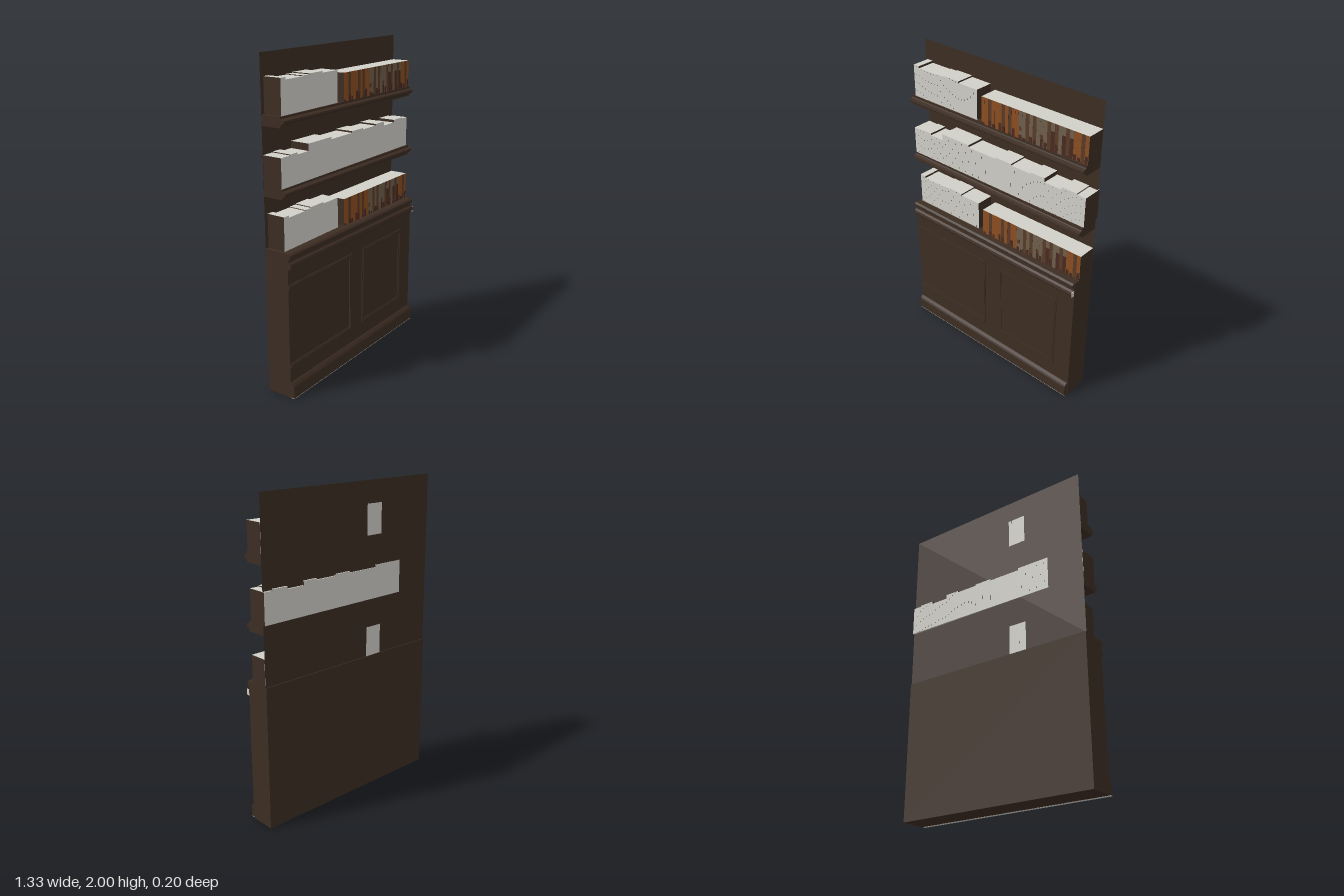
import * as THREE from 'three';

const mat = (name, color, side = THREE.FrontSide) => {
  const m = new THREE.MeshStandardMaterial({ color, side });
  m.name = name;
  return m;
};

export function createModel() {
  const wood = mat('dark wood', 0x3d2d23, THREE.DoubleSide);
  const paper = mat('pale grey', 0xd0cfc8);
  const spines = {
    P: paper,
    O: mat('orange leather', 0x8c4e22),
    U: mat('umber leather', 0x5a3b25),
    T: mat('taupe cloth', 0x6e5f4b),
    M: mat('maroon leather', 0x482a20),
  };
  const root = new THREE.Group();
  root.name = 'bookcase';
  const W = 0.665, BACK = -0.085;

  const add = (name, geo, material, x = 0, y = 0, z = 0, parent = root) => {
    const mesh = new THREE.Mesh(geo, material);
    mesh.name = name;
    mesh.position.set(x, y, z);
    parent.add(mesh);
    return mesh;
  };
  const box = (name, material, x0, x1, y0, y1, z0, z1, parent) =>
    add(name, new THREE.BoxGeometry(x1 - x0, y1 - y0, z1 - z0), material,
      (x0 + x1) / 2, (y0 + y1) / 2, (z0 + z1) / 2, parent);

  // Sweeps a [z, y] profile along x
  const moulding = (name, pts, x0, x1, y = 0) => {
    const shape = new THREE.Shape(pts.map(([z, h]) => new THREE.Vector2(z, h)));
    const geo = new THREE.ExtrudeGeometry(shape, { depth: x1 - x0, bevelEnabled: false });
    geo.rotateY(-Math.PI / 2);
    return add(name, geo, wood, x1, y, 0);
  };

  // Back panel and cabinet body
  add('backPanel', new THREE.PlaneGeometry(2 * W, 1.1), wood, 0, 1.45, BACK);
  box('cabinetBody', wood, -W, W, 0, 0.905, -0.092, 0.074);

  // Skirting with its pale underside
  moulding('skirting', [[0.07, 0.003], [0.1, 0.003], [0.1, 0.075], [0.094, 0.085],
    [0.08, 0.1], [0.07, 0.1]], -W, 0.66);
  box('skirtingUnderside', paper, -W, 0.66, 0, 0.003, 0.075, 0.1);

  // Cornice under the counter and its pale cut end
  moulding('cornice', [[0.07, 0.8], [0.078, 0.805], [0.08, 0.812], [0.094, 0.818], [0.1, 0.83],
    [0.094, 0.846], [0.082, 0.855], [0.08, 0.868], [0.092, 0.88], [0.092, 0.896],
    [0.08, 0.905], [0.07, 0.905]], -W, 0.661);
  box('corniceEnd', paper, 0.661, 0.664, 0.812, 0.85, 0.076, 0.096);

  // Raised frames on the cabinet front
  const frame = (name, x0, x1, y0, y1, b, z) => {
    const s = new THREE.Shape();
    s.moveTo(x0, y0).lineTo(x1, y0).lineTo(x1, y1).lineTo(x0, y1).closePath();
    const a = Math.max(x0 + b, -W);
    const hole = new THREE.Path();
    hole.moveTo(a, y0 + b).lineTo(a, y1 - b).lineTo(x1 - b, y1 - b).lineTo(x1 - b, y0 + b).closePath();
    s.holes.push(hole);
    add(name, new THREE.ExtrudeGeometry(s, { depth: z, bevelEnabled: false }), wood, 0, 0, 0.073);
  };
  frame('rightFrame', 0.072, 0.543, 0.192, 0.717, 0.03, 0.005);
  frame('rightFrameBead', 0.079, 0.536, 0.199, 0.71, 0.014, 0.009);
  // the other frame runs off the end, so it has three sides
  for (const [x1, y0, y1, b, z] of [[-0.038, 0.192, 0.717, 0.03, 0.08], [-0.045, 0.199, 0.71, 0.014, 0.083]]) {
    box('leftFrameBottom', wood, -W, x1, y0, y0 + b, 0.073, z);
    box('leftFrameTop', wood, -W, x1, y1 - b, y1, 0.073, z);
    box('leftFrameStile', wood, x1 - b, x1, y0 + b, y1 - b, 0.073, z);
  }

  // Shelves with a beaked front edge
  const shelfProfile = [[-0.083, 0], [0.045, 0], [0.045, 0.012], [0.055, 0.016], [0.071, 0.03],
    [0.068, 0.041], [0.052, 0.046], [0.045, 0.05], [0.045, 0.061], [-0.083, 0.061]];
  for (const y of [1.212, 1.61]) moulding('shelf', shelfProfile, -W, W, y);

  // One book: wooden-brown covers, pale pages, coloured spine
  const book = (parent, x0, x1, y, h, back, depth, spine) =>
    box('book', [wood, wood, paper, paper, spine, paper], x0, x1, y, y + h, back, back + depth, parent);

  // A run of pale books; steps are [end x, height]; the row skews through the panel at crossX
  const paleRow = (name, x0, y, steps, crossX, depth, width) => {
    const g = new THREE.Group();
    g.name = name;
    root.add(g);
    let x = x0;
    for (const [end, h] of steps) {
      const n = Math.max(1, Math.round((end - x) / width)), w = (end - x) / n;
      for (let i = 0; i < n; i++) {
        const a = x + i * w;
        book(g, a, a + w, y, h, BACK - 0.012 * (a + w / 2 - crossX), depth, paper);
      }
      x = end;
    }
  };

  // A run of coloured books
  const pattern = 'OOUOOOUOUOOTTUTUTTTUMUTMUMOOUO';
  const colouredRow = (y) => {
    const g = new THREE.Group();
    g.name = 'colouredBooks';
    root.add(g);
    const x0 = -0.083, w = (W - x0) / pattern.length;
    [...pattern].forEach((key, i) => {
      const back = -0.073 - 0.01 * i / pattern.length;
      const a = x0 + i * w, f = back + 0.117;
      book(g, a, a + w, y, 0.17, back, 0.117, spines[key]);
      // worn lower part and title band of some spines
      const low = 0.012 + 0.012 * ((i * 7) % 4);
      if (i % 3 !== 1) box('spineFoot', spines.M, a + 0.003, a + w - 0.003, y, y + low, f, f + 0.001, g);
      if (key === 'M') box('spineHead', spines.T, a, a + w, y + 0.12, y + 0.17, f, f + 0.001, g);
      if (key === 'T' && i % 2) box('spineBand', spines.U, a + 0.003, a + w - 0.003, y + 0.05, y + 0.075, f, f + 0.001, g);
    });
  };

  // Upper and counter rows match
  for (const y of [0.905, 1.671]) {
    paleRow('paleBooks', -0.645, y, [[-0.602, 0.203], [-0.45, 0.19], [-0.395, 0.194], [-0.275, 0.199],
      [-0.13, 0.19]], -0.245, 0.118, 0.026);
    colouredRow(y);
  }
  // Middle row
  paleRow('middleBooks', -W, 1.273, [[-0.585, 0.175], [-0.52, 0.18], [-0.42, 0.168], [-0.2, 0.21],
    [0.015, 0.196], [0.135, 0.206], [0.28, 0.197], [0.38, 0.207], [0.5, 0.181], [0.605, 0.198],
    [W, 0.191]], -0.43, 0.127, 0.028);

  return root;
}
